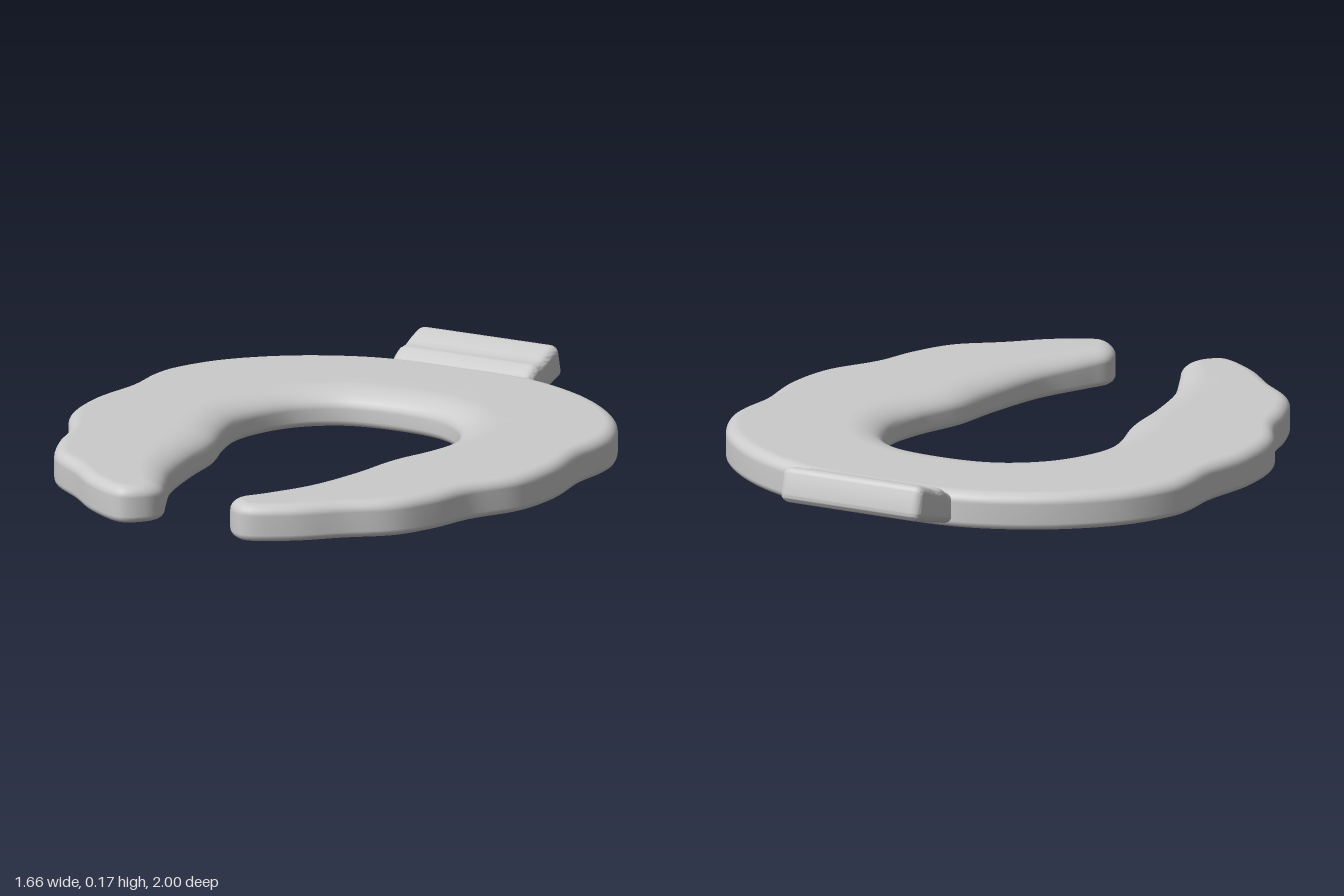
import * as THREE from 'three';
import { toCreasedNormals } from 'three/addons/utils/BufferGeometryUtils.js';

const material = new THREE.MeshStandardMaterial({ color: 0xcccccc, roughness: 0.7 });
const HEIGHT = 0.118;

// Left half of the outline (x, z): back centre, outer edge, tip, inner edge.
const TIP = 15;
const HALF = [
  [0, -0.8], [0.25, -0.79], [0.42, -0.735], [0.58, -0.64], [0.72, -0.5], [0.8, -0.34], [0.812, -0.25],
  [0.806, -0.12], [0.831, 0.08], [0.808, 0.26], [0.72, 0.43], [0.68, 0.57], [0.61, 0.71], [0.48, 0.82],
  [0.36, 0.93], [0.22, 0.998], [0.15, 0.95], [0.13, 0.885], [0.165, 0.8], [0.235, 0.64], [0.28, 0.42],
  [0.3, 0.25], [0.35, 0.09], [0.37, -0.03], [0.355, -0.13], [0.29, -0.26], [0.17, -0.35], [0, -0.375],
];

// Horseshoe ring: the outline is lofted upward through inset rings, then capped.
function ringGeometry() {
  const last = HALF.length - 1;
  const points = [...HALF, ...HALF.slice(1, last).reverse().map(([x, z]) => [-x, z])]
    .map(([x, z]) => new THREE.Vector3(x, 0, z));
  const curve = new THREE.CatmullRomCurve3(points, true);
  const perPoint = 6, count = points.length * perPoint;

  const outline = [];
  for (let i = 0; i < count; i++) {
    const t = i / count;
    const tangent = curve.getTangent(t);
    const index = i / perPoint;
    const halfIndex = index > last ? 2 * last - index : index;
    outline.push({
      p: curve.getPoint(t),
      inward: new THREE.Vector3(-tangent.z, 0, tangent.x),
      inner: THREE.MathUtils.smoothstep(halfIndex, TIP, TIP + 6),
    });
  }

  // Tight round at the bottom, wider round at the top of the inner edge.
  const levels = [];
  for (let k = 0; k <= 4; k++) levels.push({ top: false, a: (k / 4) * Math.PI / 2 });
  for (let k = 0; k <= 8; k++) levels.push({ top: true, a: (k / 8) * Math.PI / 2 });

  const positions = [], index = [];
  for (const { top, a } of levels) {
    for (const { p, inward, inner } of outline) {
      const width = top ? 0.04 + 0.08 * inner : 0.022;
      const rise = top ? 0.034 + 0.026 * inner : 0.022;
      const inset = width * (1 - (top ? Math.cos(a) : Math.sin(a)));
      const y = top ? HEIGHT - rise * (1 - Math.sin(a)) : rise * (1 - Math.cos(a));
      positions.push(p.x + inward.x * inset, y, p.z + inward.z * inset);
    }
  }
  for (let j = 0; j < levels.length - 1; j++) {
    for (let i = 0; i < count; i++) {
      const n = (i + 1) % count;
      const a = j * count + i, b = j * count + n;
      index.push(a, a + count, b + count, a, b + count, b);
    }
  }

  // Flat caps, wound to face down or up.
  const cap = (start, up) => {
    const flat = outline.map((_, i) => new THREE.Vector2(positions[(start + i) * 3], positions[(start + i) * 3 + 2]));
    for (const [a, b, c] of THREE.ShapeUtils.triangulateShape(flat, [])) {
      const facesUp = flat[b].clone().sub(flat[a]).cross(flat[c].clone().sub(flat[a])) < 0;
      if (facesUp === up) index.push(start + a, start + b, start + c);
      else index.push(start + a, start + c, start + b);
    }
  };
  cap(0, false);
  cap((levels.length - 1) * count, true);

  const geometry = new THREE.BufferGeometry();
  geometry.setAttribute('position', new THREE.Float32BufferAttribute(positions, 3));
  geometry.setIndex(index);
  geometry.computeVertexNormals();
  return geometry;
}

// Upturned tab: side profile (distance backward, height) extruded across the width.
function tabGeometry() {
  const s = new THREE.Shape();
  s.moveTo(0.72, 0.015);
  s.lineTo(0.79, 0.012);
  s.lineTo(0.975, 0.062);
  s.quadraticCurveTo(1.003, 0.07, 0.998, 0.095);
  s.lineTo(0.984, 0.152);
  s.quadraticCurveTo(0.976, 0.18, 0.95, 0.171);
  s.quadraticCurveTo(0.91, 0.16, 0.88, 0.145);
  s.quadraticCurveTo(0.86, 0.139, 0.84, 0.14);
  s.quadraticCurveTo(0.815, 0.13, 0.79, 0.11);
  s.lineTo(0.72, 0.1);
  s.closePath();
  const bevel = 0.03, width = 0.5;
  const geometry = new THREE.ExtrudeGeometry(s, {
    depth: width - 2 * bevel, curveSegments: 8,
    bevelEnabled: true, bevelThickness: bevel, bevelSize: 0.022, bevelOffset: -0.022, bevelSegments: 6,
  });
  geometry.translate(0, 0, bevel - width / 2);
  geometry.rotateY(Math.PI / 2);
  return toCreasedNormals(geometry, 0.7);
}

export function createModel() {
  const group = new THREE.Group();
  group.name = 'horseshoeSeat';
  const add = (name, geometry) => {
    const mesh = new THREE.Mesh(geometry, material);
    mesh.name = name;
    group.add(mesh);
  };
  add('seatRing', ringGeometry());
  add('backTab', tabGeometry());
  return group;
}
